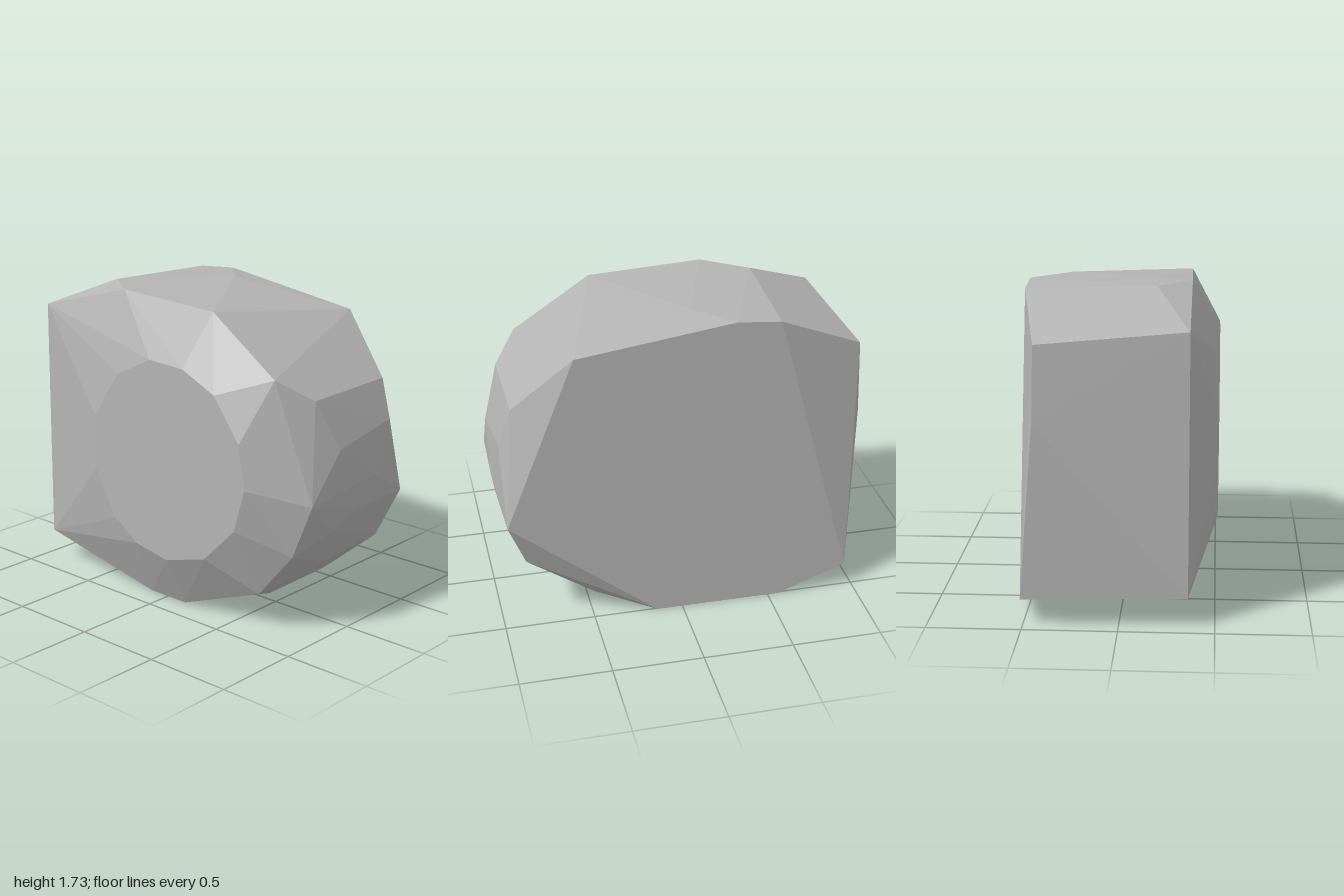
import * as THREE from 'three';
import { ConvexGeometry } from 'three/addons/geometries/ConvexGeometry.js';

const FRONT = 0.51;
const BACK = -0.51;

// Flat front facet, outline as x, y
const frontFacet = [
  [-0.4, 1.03], [-0.21, 1.3], [0.03, 1.42], [0.27, 1.41], [0.49, 1.31],
  [0.66, 1.08], [0.7, 0.84], [0.63, 0.6], [0.42, 0.39], [0.14, 0.31],
  [-0.08, 0.35], [-0.25, 0.46], [-0.4, 0.72],
];

// Flat back facet, outline as x, y
const backFacet = [
  [0.58, 1.61], [-0.28, 1.73], [-0.52, 1.71], [-0.95, 0.15],
  [-0.56, 0.005], [0.15, 0.01], [0.96, 0.65],
];

// Shoulder where the front bevel meets the sides
const shoulder = [
  [-0.93, 1.56, 0.36], [-0.3, 1.73, 0.36], [0.34, 1.7, 0.35], [0.77, 1.41, 0.36],
  [0.98, 0.76, 0.3], [0.88, 0.47, 0.33], [0.67, 0.21, 0.35], [0.14, 0.01, 0.36],
  [-0.12, 0.01, 0.36], [-0.94, 0.17, 0.36],
];

// Corners on the rounded side, the top and the flat side
const sides = [
  [0.9, 1.29, 0.19], [0.9, 1.3, -0.39], [0.97, 1.09, -0.37], [0.985, 1.02, 0.08],
  [1, 0.82, -0.2], [0.972, 0.65, -0.1], [0.95, 0.57, 0.08], [0.86, 0.38, -0.43],
  [0.83, 0.34, 0], [0.735, 0.25, 0.12], [0.68, 0.2, -0.2], [0.54, 0.1, 0.1],
  [0.47, 0.07, -0.35], [0.34, 0.03, 0],
  [-0.54, 1.73, 0.18], [-0.08, 1.735, -0.3],
  [-0.99, 1.5, -0.42], [-1, 1.1, -0.43],
];

export function createModel() {
  const stone = new THREE.MeshStandardMaterial({ color: 0xb4b4b4 });
  stone.name = 'stone grey';

  // The faceted block is the convex shell around all its corners
  const corners = [
    ...frontFacet.map(([x, y]) => [x, y, FRONT]),
    ...backFacet.map(([x, y]) => [x, y, BACK]),
    ...shoulder,
    ...sides,
  ].map((p) => new THREE.Vector3(...p));

  const rock = new THREE.Mesh(new ConvexGeometry(corners), stone);
  rock.name = 'facetedRock';

  const model = new THREE.Group();
  model.name = 'rock';
  model.add(rock);
  return model;
}
